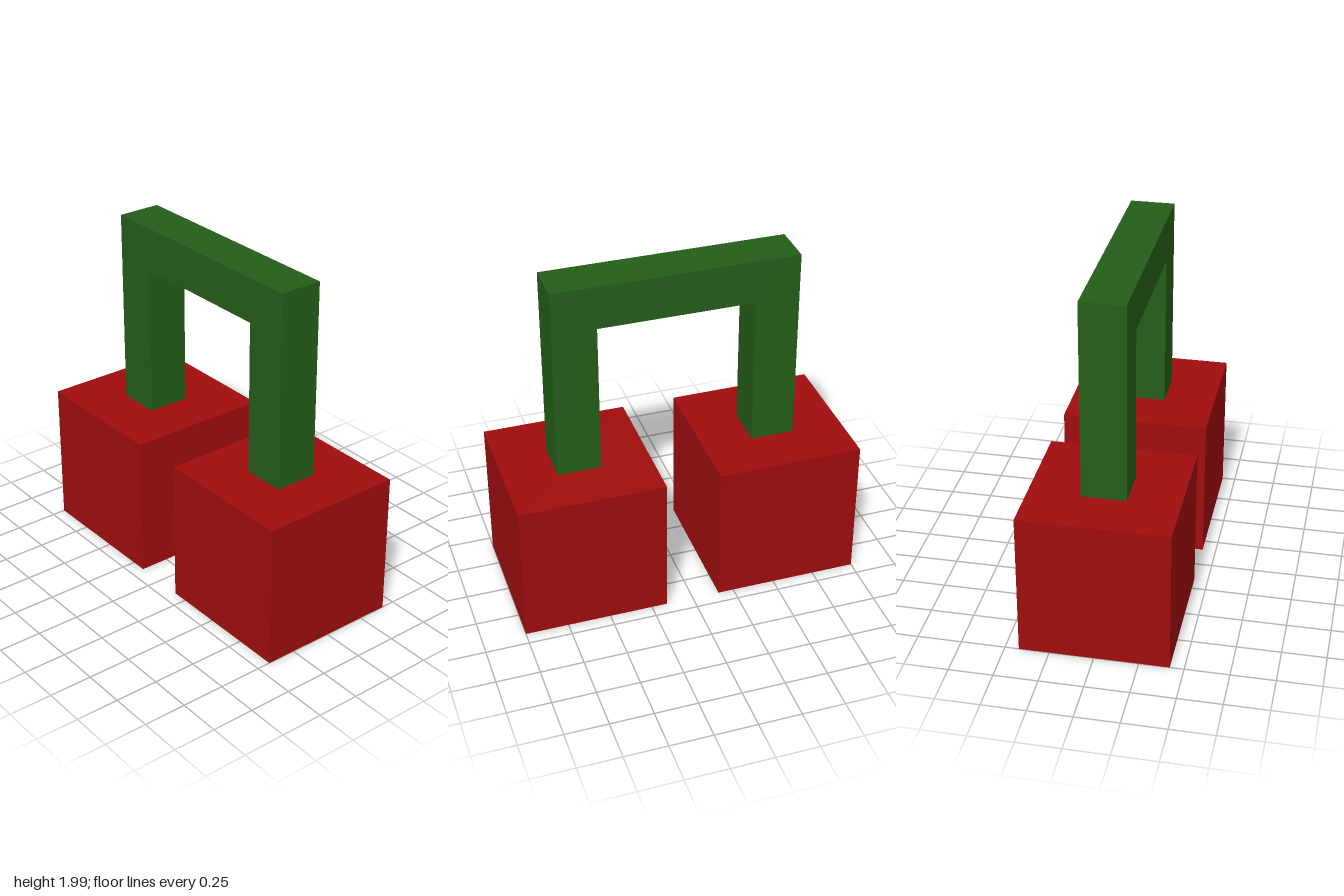
import * as THREE from 'three';

const CUBE = 0.842, CUBE_X = 0.579; // cherry edge length and offset from centre
const BAR = 0.253, OUTER = 0.703, TOP = 1.993; // stem thickness, half width, height

export function createModel() {
  const model = new THREE.Group();
  model.name = 'cubeCherries';
  const red = new THREE.MeshStandardMaterial({ color: 0xa00d0d, flatShading: true });
  const green = new THREE.MeshStandardMaterial({ color: 0x245e18, flatShading: true });

  // Two cube cherries
  for (const [name, side] of [['leftCherry', 1], ['rightCherry', -1]]) {
    const cherry = new THREE.Mesh(new THREE.BoxGeometry(CUBE, CUBE, CUBE), red);
    cherry.name = name;
    cherry.position.set(side * CUBE_X, CUBE / 2, 0);
    model.add(cherry);
  }

  // Square stem arch standing on both cherries
  const inner = OUTER - BAR;
  const outline = [
    [-OUTER, CUBE], [-inner, CUBE], [-inner, TOP - BAR], [inner, TOP - BAR],
    [inner, CUBE], [OUTER, CUBE], [OUTER, TOP], [-OUTER, TOP],
  ].map(([x, y]) => new THREE.Vector2(x, y));
  const archGeometry = new THREE.ExtrudeGeometry(new THREE.Shape(outline), { depth: BAR, bevelEnabled: false });
  archGeometry.translate(0, 0, -BAR / 2);
  const stem = new THREE.Mesh(archGeometry, green);
  stem.name = 'stemArch';
  model.add(stem);

  return model;
}
